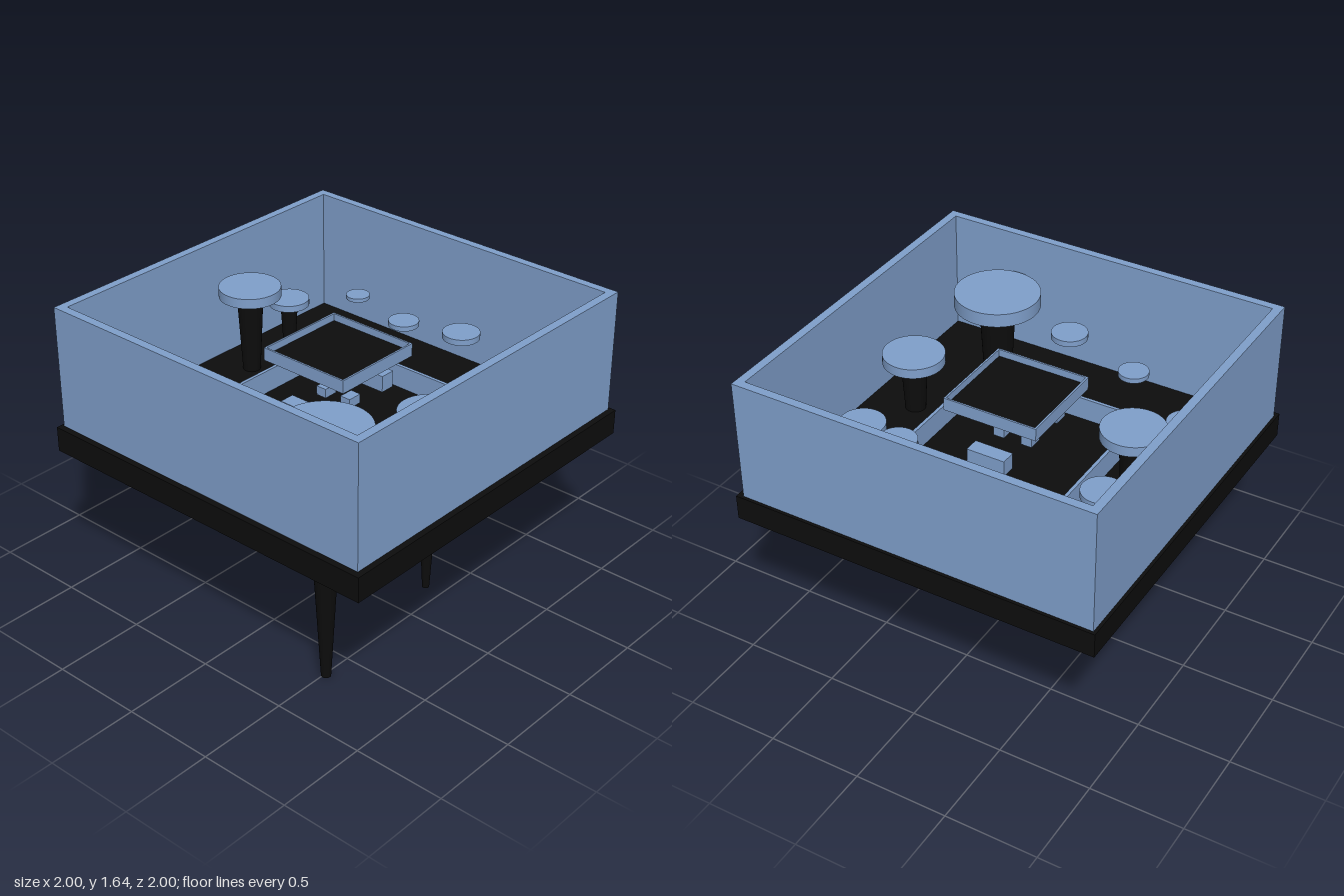
import * as THREE from 'three';

const blue = new THREE.MeshStandardMaterial({ color: 0x80a0cc });
const black = new THREE.MeshStandardMaterial({ color: 0x0d0d0d });

function add(parent, name, geometry, material, x, y, z) {
  const mesh = new THREE.Mesh(geometry, material);
  mesh.name = name;
  mesh.position.set(x, y, z);
  parent.add(mesh);
  return mesh;
}

// Upright square frame: outer and inner half sizes, standing on y = 0
function frameGeometry(outer, inner, height) {
  const square = (Type, h) => new Type([
    new THREE.Vector2(-h, -h), new THREE.Vector2(h, -h),
    new THREE.Vector2(h, h), new THREE.Vector2(-h, h),
  ]);
  const shape = square(THREE.Shape, outer);
  shape.holes.push(square(THREE.Path, inner));
  return new THREE.ExtrudeGeometry(shape, { depth: height, bevelEnabled: false }).rotateX(-Math.PI / 2);
}

// Stem profile in units of the cap radius: [radius, height above the tip]
const stemProfile = [[0, 0], [0.11, 0], [0.41, 5.55], [0.46, 5.7], [0.58, 5.86], [0, 5.86]]
  .map(([r, y]) => new THREE.Vector2(r, y));
const STEM_LENGTH = 6.18;
const CAP_THICKNESS = 0.33;

// Round caps: x, z, radius, top height, has a tapering stem
const caps = [
  [0.51, 0.67, 0.23, 1.42, true],
  [0.665, 0.095, 0.163, 1.31, true],
  [-0.705, -0.105, 0.163, 1.455, true],
  [0.605, -0.463, 0.119, 1.235, true],
  [-0.705, 0.5, 0.108, 1.12, true],
  [-0.705, -0.4, 0.108, 1.28, true],
  [0.295, -0.608, 0.097, 1.335, false],
  [0.057, 0.643, 0.097, 1.332, false],
  [-0.083, -0.608, 0.081, 1.275, false],
  [-0.322, 0.643, 0.081, 1.22, false],
  [-0.44, -0.655, 0.063, 1.293, false],
];

export function createModel() {
  const model = new THREE.Group();
  model.name = 'boxWithPegs';
  const c = -0.008; // walls and centre pieces sit slightly off centre

  // Base slab and the open wall around it
  add(model, 'base', new THREE.BoxGeometry(2, 0.135, 2), black, 0, 0.9075, 0);
  add(model, 'wall', frameGeometry(0.975, 0.929, 0.662), blue, c, 0.975, c);

  // Low frame on the floor
  add(model, 'floorFrame', frameGeometry(0.467, 0.449, 0.125), blue, c, 0.975, c);

  // Raised tray with a dark panel
  const tray = new THREE.Group();
  tray.name = 'tray';
  tray.position.set(c, 1.315, c);
  model.add(tray);
  add(tray, 'trayRim', frameGeometry(0.26, 0.25, 0.07), blue, 0, 0, 0);
  add(tray, 'trayPanel', new THREE.BoxGeometry(0.5, 0.03, 0.5), black, 0, 0.016, 0);

  // Tabs showing at the front and back of the tray, small blocks below it
  for (const s of [-1, 1]) {
    add(model, 'tab', new THREE.BoxGeometry(0.212, 0.09, 0.083), blue, c, 1.115, c * 0.5 + s * 0.262);
    add(model, 'block', new THREE.BoxGeometry(0.06, 0.05, 0.08), blue, c + s * 0.08, 1.11, c);
  }

  // Caps, the larger ones on stems that pass through the base
  for (const [x, z, r, top, stemmed] of caps) {
    const peg = new THREE.Group();
    peg.name = stemmed ? 'peg' : 'button';
    peg.position.set(x, top, z);
    peg.scale.setScalar(r);
    model.add(peg);
    add(peg, 'cap', new THREE.CylinderGeometry(1, 1, CAP_THICKNESS, 48), blue, 0, -CAP_THICKNESS / 2, 0);
    if (stemmed) add(peg, 'stem', new THREE.LatheGeometry(stemProfile, 32), black, 0, -STEM_LENGTH, 0);
  }

  return model;
}
